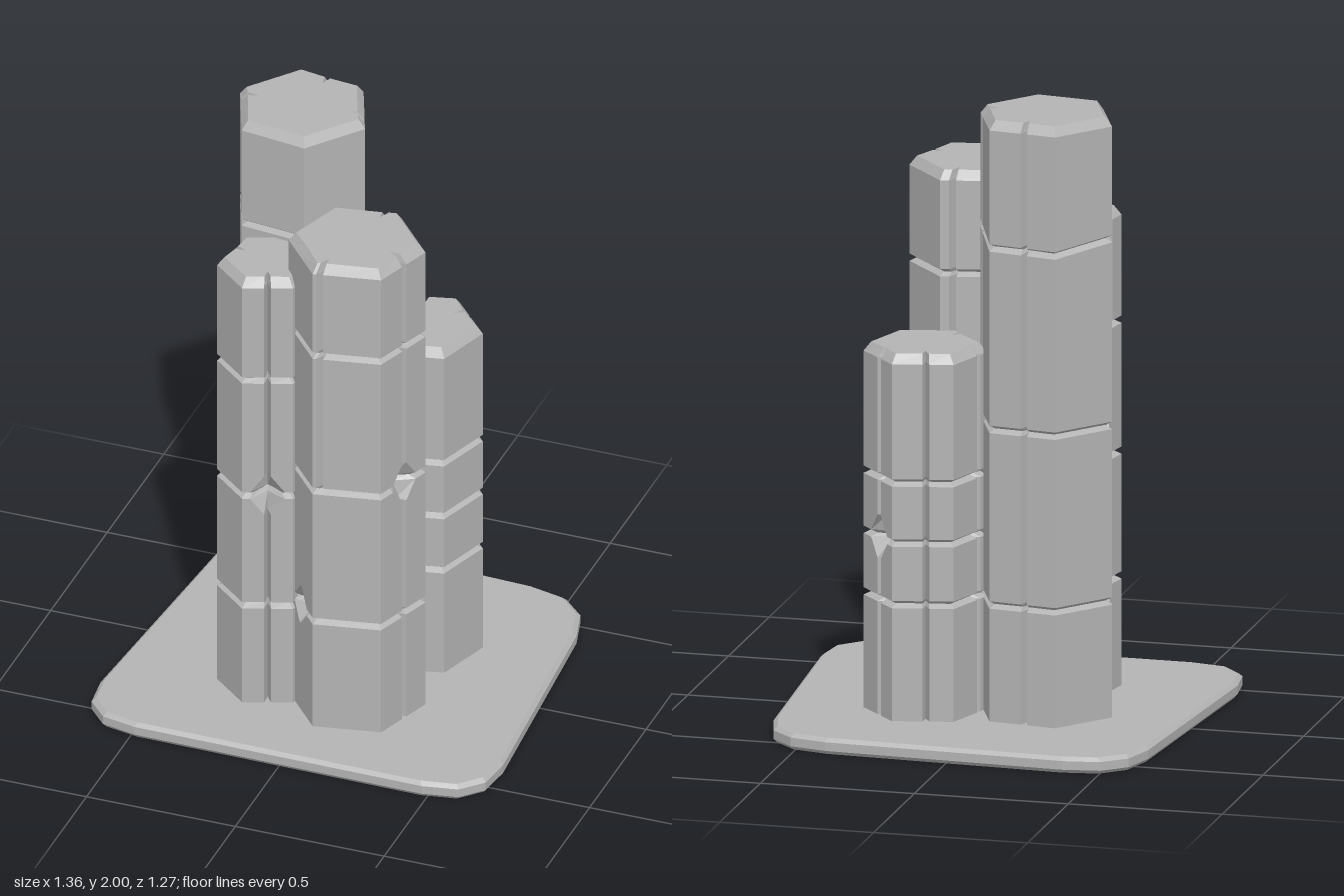
import * as THREE from 'three';

// Stacks outline rings ([x, y, z] points, clockwise from above) into a closed solid.
function loft(rings) {
  const n = rings[0].length, pos = [], idx = [];
  const centre = r => [0, 1, 2].map(k => r.reduce((s, p) => s + p[k], 0) / n);
  rings.forEach(r => r.forEach(p => pos.push(...p)));
  pos.push(...centre(rings[0]), ...centre(rings[rings.length - 1]));
  const low = n * rings.length, high = low + 1, last = n * (rings.length - 1);
  for (let i = 0; i < n; i++) {
    const j = (i + 1) % n;
    for (let r = 0; r < rings.length - 1; r++) {
      const a = r * n + i, b = r * n + j;
      idx.push(b, a, a + n, b, a + n, b + n);
    }
    idx.push(low, i, j, high, last + j, last + i);
  }
  const g = new THREE.BufferGeometry();
  g.setAttribute('position', new THREE.Float32BufferAttribute(pos, 3));
  g.setIndex(idx);
  const flat = g.toNonIndexed();
  flat.computeVertexNormals();
  return flat;
}

const mix = (p, q, t) => [p[0] + (q[0] - p[0]) * t, p[1] + (q[1] - p[1]) * t];

// Moves a point a fixed distance towards a centre
const towards = (p, c, d) => mix(p, c, d / Math.hypot(c[0] - p[0], c[1] - p[1]));

// Hexagon with V-shaped cracks cut into its sides; a crack widens at its chipped seam
function crackedHexagon({ centre, radius, turn, cracks }, segment, seam) {
  const out = [];
  const corner = i => {
    const a = THREE.MathUtils.degToRad(turn + 60 * i);
    return [centre[0] + radius * Math.cos(a), centre[1] + radius * Math.sin(a)];
  };
  for (let i = 0; i < 6; i++) {
    const p = corner(i), q = corner(i + 1);
    out.push(p);
    cracks.filter(k => k.side === i).forEach(({ t, from = 0, chip }) => {
      const chipped = chip === seam && chip !== undefined;
      const half = Math.min((chipped ? 0.055 : 0.011) / radius, 0.9 * Math.min(t, 1 - t));
      const depth = chipped ? 0.05 : segment >= from ? 0.035 : 0;
      out.push(mix(p, q, t - half), towards(mix(p, q, t), centre, depth), mix(p, q, t + half));
    });
  }
  return out;
}

// Column of stacked blocks with bevelled ends, split at the given levels
function buildColumn(name, material, column) {
  const { levels, centre, tiltedSeam } = column;
  const group = new THREE.Group();
  group.name = name;
  for (let s = 0; s < levels.length - 1; s++) {
    const bevel = s === levels.length - 2 ? 0.03 : 0.012;
    const ring = (end, dy, inset, seam) => crackedHexagon(column, s, seam).map(p => {
      const [x, z] = towards(p, centre, inset);
      const slope = end === tiltedSeam ? 0.12 : 0;
      return [x, levels[end] + dy + slope * (z - centre[1]), z];
    });
    const block = new THREE.Mesh(loft([
      ring(s, 0, 0.022, s), ring(s, 0.012, 0, s), ring(s, 0.07, 0),
      ring(s + 1, -0.07, 0), ring(s + 1, -bevel, 0, s + 1), ring(s + 1, 0, 0.024, s + 1),
    ]), material);
    block.name = `${name}Block${s + 1}`;
    group.add(block);
  }
  return group;
}

// Uneven four-cornered slab with rounded corners and a small bevel
function buildSlab(material) {
  const corners = [[-0.595, -0.65], [0.605, -0.595], [0.695, 0.63], [-0.695, 0.615]];
  const outline = corners.flatMap((c, i) => {
    const a = towards(c, corners[(i + 3) % 4], 0.21), b = towards(c, corners[(i + 1) % 4], 0.21);
    return [0, 1, 2, 3].map(k => mix(mix(a, c, k / 3), mix(c, b, k / 3), k / 3));
  });
  const ring = (y, inset) => outline.map(p => {
    const [x, z] = towards(p, [0, 0], inset);
    return [x, y, z];
  });
  const slab = new THREE.Mesh(
    loft([ring(0, 0.012), ring(0.012, 0), ring(0.04, 0), ring(0.052, 0.015)]), material);
  slab.name = 'groundSlab';
  return slab;
}

export function createModel() {
  const model = new THREE.Group();
  model.name = 'rockColumns';
  const stone = new THREE.MeshStandardMaterial({ color: 0xb4b4b4 });
  stone.name = 'grey stone';

  model.add(
    buildSlab(stone),
    buildColumn('tallColumn', stone, {
      centre: [-0.188, -0.09], radius: 0.224, turn: 188, tiltedSeam: 3,
      levels: [0.03, 0.43, 1.0, 1.61, 2.0],
      cracks: [{ side: 1, t: 0.48 }, { side: 2, t: 0.82, from: 2 }, { side: 5, t: 0.8, chip: 2 }],
    }),
    buildColumn('frontColumn', stone, {
      centre: [0.115, 0.226], radius: 0.218, turn: 169,
      levels: [0.03, 0.44, 0.92, 1.42, 1.75],
      cracks: [{ side: 1, t: 0.82, from: 1 }, { side: 3, t: 0.48, chip: 2 },
        { side: 4, t: 0.9, from: 2 }, { side: 5, t: 0.5, from: 4, chip: 1 }],
    }),
    buildColumn('shortColumn', stone, {
      centre: [0.187, -0.157], radius: 0.194, turn: 168,
      levels: [0.03, 0.43, 0.63, 0.825, 1.24],
      cracks: [{ side: 0, t: 0.25 }, { side: 1, t: 0.45 }, { side: 2, t: 0.45, chip: 2 },
        { side: 5, t: 0.2, from: 1 }],
    }),
    buildColumn('sideColumn', stone, {
      centre: [-0.186, 0.22], radius: 0.16, turn: 160,
      levels: [0.03, 0.41, 0.815, 1.24, 1.61],
      cracks: [{ side: 0, t: 0.5, from: 3 }, { side: 4, t: 0.5, chip: 2 }],
    }),
  );
  return model;
}
